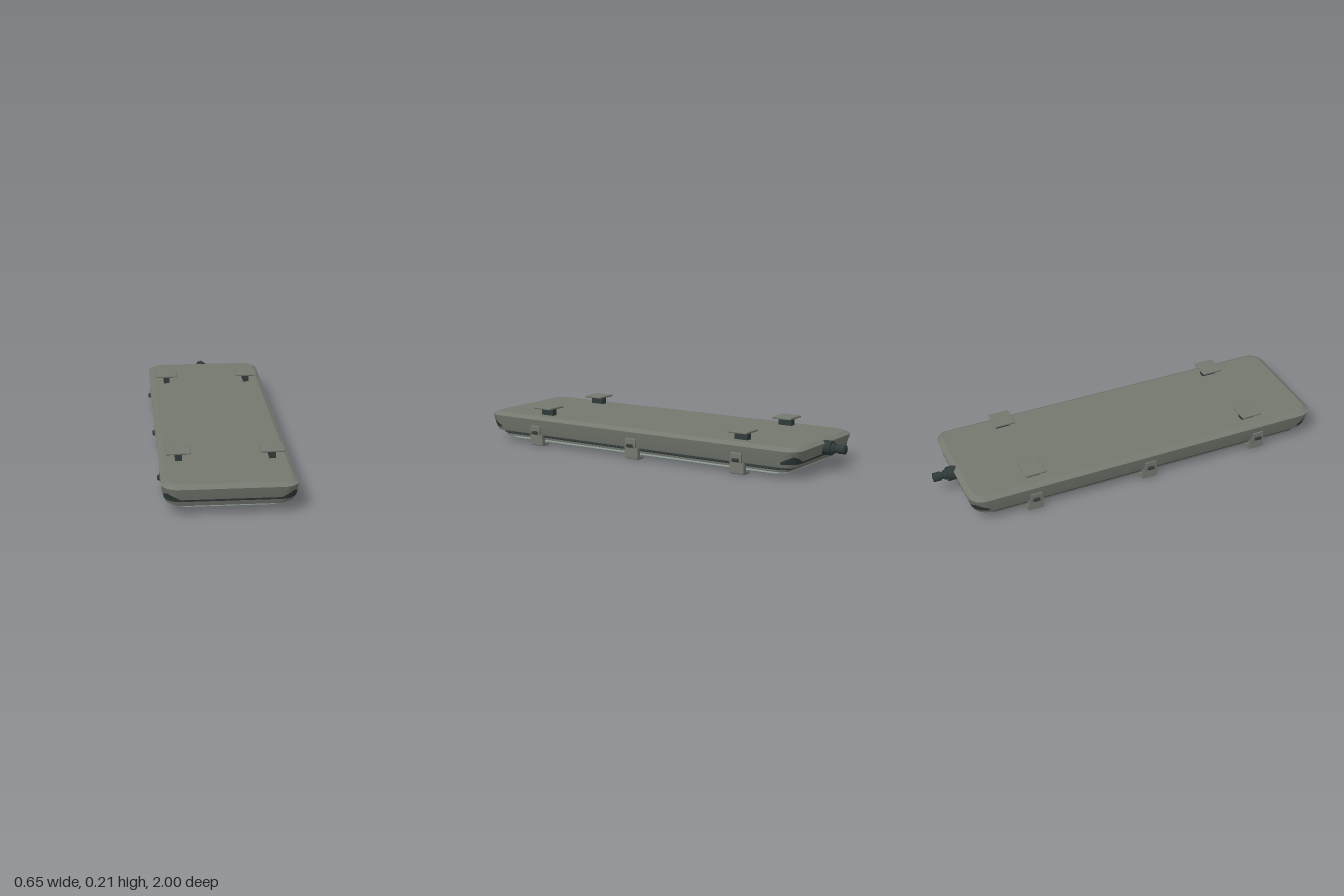
import * as THREE from 'three';
import { toCreasedNormals } from 'three/addons/utils/BufferGeometryUtils.js';
import { RoundedBoxGeometry } from 'three/addons/geometries/RoundedBoxGeometry.js';

const SEG = 8;          // segments per rounded corner
const MID_Z = 0.05;     // centre of the housing along z

// Rounded rectangle outline at height y, four corners of SEG + 1 points
function ring(y, hw, hl, r) {
  const points = [];
  const corners = [[1, 1], [-1, 1], [-1, -1], [1, -1]];
  corners.forEach(([sx, sz], c) => {
    for (let i = 0; i <= SEG; i++) {
      const a = (c + i / SEG) * Math.PI / 2;
      points.push(new THREE.Vector3(
        sx * (hw - r) + r * Math.cos(a), y, sz * (hl - r) + r * Math.sin(a)));
    }
  });
  return points;
}

function fromTriangles(points) {
  const g = new THREE.BufferGeometry().setFromPoints(points);
  g.computeVertexNormals();
  return toCreasedNormals(g, 0.45);
}

// Closed solid through sections [y, halfWidth, halfLength, radius], bottom to top
function loft(sections) {
  const rings = sections.map((s) => ring(...s));
  const n = rings[0].length;
  const tris = [];
  const bottom = new THREE.Vector3(0, sections[0][0], 0);
  const top = new THREE.Vector3(0, sections[sections.length - 1][0], 0);
  for (let i = 0; i < n; i++) {
    const j = (i + 1) % n;
    for (let k = 0; k + 1 < rings.length; k++) {
      const lo = rings[k], up = rings[k + 1];
      tris.push(lo[i], up[i], lo[j], up[i], up[j], lo[j]);
    }
    const last = rings[rings.length - 1];
    tris.push(bottom, rings[0][i], rings[0][j], top, last[j], last[i]);
  }
  return fromTriangles(tris);
}

// Outline of the tapered housing wall, slightly proud of it
function wallRing(y) {
  const t = (y - 0.075) / 0.07;
  return ring(y, 0.304 + 0.013 * t, 0.932 + 0.02 * t, 0.077);
}

// Thin dark strip round each end, rising to a peak at both corners
function endBand(firstCorner) {
  const n = 4 * (SEG + 1);
  const at = (index, y) => wallRing(y)[index % n];
  const start = firstCorner * (SEG + 1);
  const columns = [];
  for (let c = 0; c < 2; c++) {
    for (let i = 0; i <= SEG; i++) {
      const d = Math.abs(i / SEG - 0.5) * 2;
      const index = start + c * (SEG + 1) + i;
      columns.push([at(index, 0.08), at(index, 0.09 + 0.03 * (1 - d) ** 0.8)]);
    }
  }
  const tris = [];
  for (let i = 0; i + 1 < columns.length; i++) {
    const [a, b] = columns[i], [c, d] = columns[i + 1];
    tris.push(a, b, c, b, d, c);
  }
  return fromTriangles(tris);
}

// Profile in x and y, extruded to a given depth centred on z = 0
function extruded(profile, depth) {
  const shape = new THREE.Shape(profile.map(([x, y]) => new THREE.Vector2(x, y)));
  return new THREE.ExtrudeGeometry(shape, { depth, bevelEnabled: false })
    .translate(0, 0, -depth / 2);
}

export function createModel() {
  const model = new THREE.Group();
  model.name = 'weatherproofLamp';
  const material = (name, color) => {
    const m = new THREE.MeshStandardMaterial({ color });
    m.name = name;
    return m;
  };
  const grey = material('housing grey', 0x74786f);
  const dark = material('rubber dark', 0x2f3a39);
  const pale = material('lens pale', 0xaebdb8);
  const add = (parent, name, geometry, mat, x = 0, y = 0, z = 0) => {
    const mesh = new THREE.Mesh(geometry, mat);
    mesh.name = name;
    mesh.position.set(x, y, z);
    parent.add(mesh);
    return mesh;
  };

  // Housing, seal, frame and lens stacked from top to bottom
  add(model, 'housing', loft([
    [0.058, 0.286, 0.912, 0.065], [0.063, 0.298, 0.925, 0.072],
    [0.075, 0.302, 0.93, 0.075], [0.145, 0.315, 0.95, 0.075],
    [0.161, 0.288, 0.923, 0.06],
  ]), grey, 0, 0, MID_Z);
  add(model, 'seal', loft([
    [0.047, 0.284, 0.884, 0.065], [0.05, 0.288, 0.888, 0.068], [0.06, 0.286, 0.888, 0.068],
  ]), dark, 0, 0, MID_Z);
  add(model, 'lensFrame', loft([
    [0.035, 0.28, 0.875, 0.065], [0.048, 0.282, 0.88, 0.065],
  ]), grey, 0, 0, MID_Z);
  add(model, 'lens', loft([
    [0.014, 0.242, 0.838, 0.06], [0.016, 0.251, 0.847, 0.066],
    [0.021, 0.258, 0.853, 0.07], [0.032, 0.262, 0.857, 0.072], [0.036, 0.262, 0.857, 0.072],
  ]), pale, 0, 0, MID_Z);
  add(model, 'frontBand', endBand(0), dark, 0, 0, MID_Z);
  add(model, 'backBand', endBand(2), dark, 0, 0, MID_Z);

  // Three latches on each long side
  const hook = extruded([
    [0.25, 0.004], [0.253, 0.002], [0.293, 0.002], [0.296, 0.007], [0.304, 0.008],
    [0.304, 0.066], [0.283, 0.062], [0.281, 0.017], [0.25, 0.014],
  ], 0.08);
  const tab = extruded([
    [0.296, 0.06], [0.31, 0.062], [0.313, 0.075], [0.314, 0.108], [0.311, 0.112], [0.3, 0.09],
  ], 0.06);
  const pin = new THREE.CylinderGeometry(0.009, 0.009, 0.032, 12).rotateX(Math.PI / 2);
  for (const z of [0.67, 0.05, -0.57]) {
    for (const side of [1, -1]) {
      const latch = new THREE.Group();
      latch.name = side > 0 ? 'leftLatch' : 'rightLatch';
      latch.position.z = z;
      latch.rotation.y = side > 0 ? 0 : Math.PI;
      add(latch, 'latchHook', hook, grey);
      add(latch, 'latchTab', tab, grey);
      add(latch, 'latchPin', pin, dark, 0.316, 0.075, 0);
      model.add(latch);
    }
  }

  // Four mounting plates on short posts
  const plate = new RoundedBoxGeometry(0.116, 0.011, 0.108, 2, 0.004);
  const post = new THREE.BoxGeometry(0.031, 0.04, 0.075);
  for (const z of [0.645, -0.555]) {
    for (const x of [0.223, -0.223]) {
      add(model, 'mountPost', post, dark, x, 0.179, z);
      add(model, 'mountPlate', plate, grey, x, 0.202, z);
    }
  }

  // Cable gland at the back, radius and distance along -z
  const gland = [
    [0, 0.86], [0.036, 0.86], [0.036, 0.928], [0.025, 0.93], [0.025, 0.945],
    [0.018, 0.948], [0.018, 0.96], [0.023, 0.962], [0.023, 0.998], [0.02, 1], [0, 1],
  ].map(([r, d]) => new THREE.Vector2(r, d));
  const glandShape = new THREE.LatheGeometry(gland, 20).rotateX(-Math.PI / 2);
  add(model, 'cableGland', toCreasedNormals(glandShape, 0.6), dark, 0, 0.12, 0);

  return model;
}
